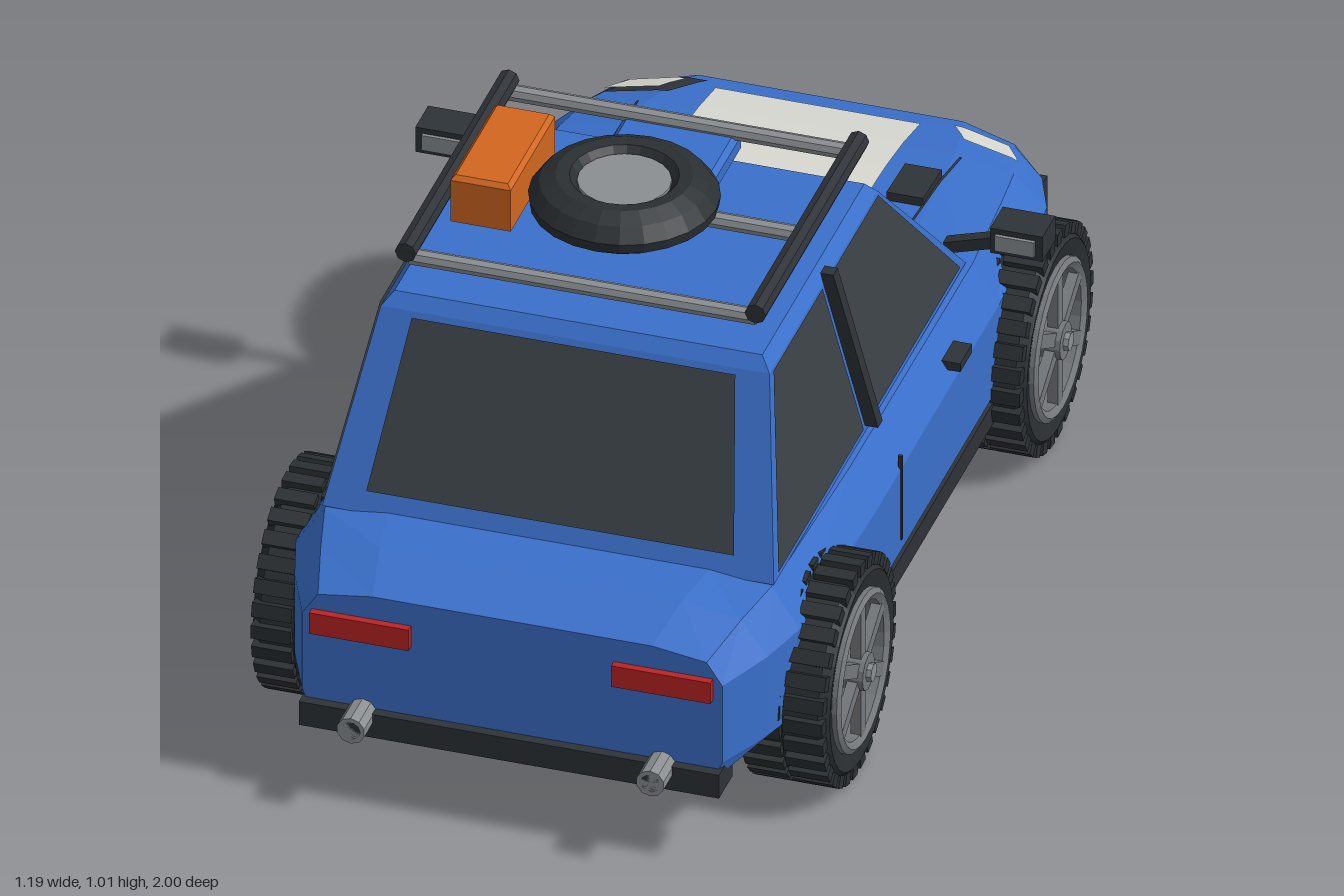
import * as THREE from 'three';

const mat = (name, color) => new THREE.MeshStandardMaterial({ name, color, flatShading: true, side: THREE.DoubleSide });
const M = {
  body: mat('body blue', 0x3a70cb), glass: mat('dark glass', 0x3a4146), rubber: mat('tyre rubber', 0x2a2f32),
  trim: mat('dark trim', 0x2e3338), metal: mat('light metal', 0x8b8f92), rim: mat('rim grey', 0x74787b),
  red: mat('red', 0xbe2323), orange: mat('orange', 0xd2661f), white: mat('pale white', 0xd9d9d2),
};
const lerp = THREE.MathUtils.lerp;

export function createModel() {
  const root = new THREE.Group();
  root.name = 'rallyCar';

  const add = (name, geo, m, x = 0, y = 0, z = 0, parent = root) => {
    const mesh = new THREE.Mesh(geo, m);
    mesh.name = name;
    mesh.position.set(x, y, z);
    parent.add(mesh);
    return mesh;
  };
  // Box given by its limits
  const box = (name, m, x0, x1, y0, y1, z0, z1, parent = root) =>
    add(name, new THREE.BoxGeometry(Math.abs(x1 - x0), y1 - y0, Math.abs(z1 - z0)), m, (x0 + x1) / 2, (y0 + y1) / 2, (z0 + z1) / 2, parent);
  const build = (verts, index) => {
    const g = new THREE.BufferGeometry();
    g.setAttribute('position', new THREE.Float32BufferAttribute(verts.flat(), 3));
    g.setIndex(index);
    const flat = g.toNonIndexed();
    flat.computeVertexNormals();
    return flat;
  };
  // Closed skin through rings of equal point count
  const loft = (rings) => {
    const n = rings[0].length, last = (rings.length - 1) * n, idx = [];
    for (let i = 0; i < rings.length - 1; i++) for (let j = 0; j < n; j++) {
      const a = i * n + j, b = i * n + (j + 1) % n, c = b + n, d = a + n;
      idx.push(a, d, c, a, c, b);
    }
    for (let k = 1; k < n - 1; k++) idx.push(0, k, k + 1, last, last + k + 1, last + k);
    return build(rings.flat(), idx);
  };
  // Flat convex panel
  const panel = (name, m, pts) => {
    const idx = [];
    for (let k = 1; k < pts.length - 1; k++) idx.push(0, k, k + 1);
    return add(name, build(pts, idx), m);
  };

  // Lower body: z, bottom, side and top half widths, shoulder, edge and crown heights
  const S = [
    [0.93, 0.38, 0.40, 0.37, 0.38, 0.425, 0.44],
    [0.82, 0.40, 0.45, 0.40, 0.385, 0.455, 0.475],
    [0.72, 0.42, 0.48, 0.425, 0.39, 0.47, 0.482],
    [0.30, 0.43, 0.49, 0.44, 0.39, 0.475, 0.485],
    [-0.42, 0.43, 0.49, 0.44, 0.39, 0.47, 0.482],
    [-0.65, 0.42, 0.482, 0.42, 0.39, 0.455, 0.475],
    [-0.77, 0.41, 0.468, 0.405, 0.38, 0.44, 0.46],
    [-0.89, 0.38, 0.42, 0.375, 0.36, 0.41, 0.435],
    [-0.945, 0.35, 0.385, 0.35, 0.34, 0.385, 0.415],
  ];
  const FLAT = 0.72;
  add('lowerBody', loft(S.map(([z, wb, ws, wt, ysh, yt, yc]) => {
    const right = [[wb, 0.17, z], [ws, 0.215, z], [ws, ysh, z], [wt, yt, z], [wt * FLAT, yc, z]];
    return [...right, ...right.map(([x, y]) => [-x, y, z]).reverse()];
  })), M.body);

  // Height of the body's upper skin, and panels laid over it
  const skin = (x, z) => {
    const i = Math.max(1, S.findIndex(s => s[0] <= z)), A = S[i - 1], B = S[i];
    const t = (A[0] - z) / (A[0] - B[0]);
    const [, , ws, wt, ysh, yt, yc] = A.map((v, k) => lerp(v, B[k], t));
    const a = Math.abs(x), f = wt * FLAT;
    if (a < f) return yc;
    return a < wt ? lerp(yc, yt, (a - f) / (wt - f)) : lerp(yt, ysh, (a - wt) / (ws - wt));
  };
  const patch = (name, m, c, lift = 0.006) => {
    const N = 8, v = [], idx = [];
    for (let i = 0; i <= N; i++) for (let j = 0; j <= N; j++) {
      const p = k => lerp(lerp(c[0][k], c[1][k], i / N), lerp(c[3][k], c[2][k], i / N), j / N);
      v.push([p(0), skin(p(0), p(1)) + lift, p(1)]);
      if (i < N && j < N) {
        const a = i * (N + 1) + j, d = a + N + 1;
        idx.push(a, a + 1, d + 1, a, d + 1, d);
      }
    }
    add(name, build(v, idx), m);
  };
  patch('hoodStripe', M.white, [[-0.195, -0.47], [0.195, -0.47], [0.195, -0.87], [-0.195, -0.87]]);
  patch('headlightFrame', M.trim, [[-0.43, -0.805], [-0.27, -0.82], [-0.22, -0.905], [-0.385, -0.9]], 0.004);
  for (const s of [-1, 1]) {
    patch('headlight', M.white, [[s * 0.395, -0.825], [s * 0.29, -0.833], [s * 0.255, -0.885], [s * 0.36, -0.88]], 0.008);
    patch('hoodSeam', M.trim, [[s * 0.295, -0.47], [s * 0.3, -0.47], [s * 0.31, -0.76], [s * 0.305, -0.76]], 0.004);
    box('hoodVent', M.trim, s * 0.23, s * 0.30, 0.46, 0.492, -0.67, -0.56).rotation.x = -0.05;
  }

  // Cabin, from roof down to belt line
  const ring = (w, y, zr, zf) => [[w, y, zr], [w, y, zf], [-w, y, zf], [-w, y, zr]];
  add('cabin', loft([ring(0.35, 0.845, 0.54, -0.06), ring(0.37, 0.82, 0.56, -0.08), ring(0.43, 0.475, 0.72, -0.41)]), M.body);
  const up = y => (y - 0.475) / 0.345;
  const sideX = y => lerp(0.43, 0.37, up(y)) + 0.005;
  const rear = [[-0.35, 0.515], [0.35, 0.515], [0.308, 0.812], [-0.308, 0.812]];
  panel('rearWindow', M.glass, rear.map(([x, y]) => [x, y, lerp(0.72, 0.56, up(y)) + 0.006]));
  const front = [[-0.395, 0.49], [0.395, 0.49], [0.34, 0.808], [-0.34, 0.808]];
  panel('windscreen', M.glass, front.map(([x, y]) => [x, y, lerp(-0.41, -0.08, up(y)) - 0.006]));
  for (const s of [-1, 1]) {
    const side = (name, m, pts, off = 0) => panel(name, m, pts.map(([z, y]) => [s * (sideX(y) + off), y, z]));
    side('rearSideWindow', M.glass, [[0.70, 0.49], [0.55, 0.822], [0.262, 0.822], [0.198, 0.49]]);
    side('frontSideWindow', M.glass, [[0.135, 0.49], [0.20, 0.822], [-0.065, 0.822], [-0.37, 0.49]]);
    // Raised door pillar bar
    const bar = (y, zc) => [[0.02, zc + 0.013], [0.02, zc - 0.013], [-0.005, zc - 0.013], [-0.005, zc + 0.013]]
      .map(([d, z]) => [s * (sideX(y) + d), y, z]);
    add('pillarBar', loft([bar(0.845, 0.235), bar(0.485, 0.165)]), M.trim);
  }

  // Doors, sills and mirrors
  for (const s of [-1, 1]) {
    box('doorSeam', M.trim, s * 0.485, s * 0.493, 0.24, 0.42, 0.154, 0.16);
    box('doorHandle', M.trim, s * 0.46, s * 0.502, 0.41, 0.428, -0.225, -0.155);
    box('sideSill', M.trim, s * 0.42, s * 0.49, 0.155, 0.2, -0.4, 0.4);
    box('mirrorHousing', M.trim, s * 0.497, s * 0.597, 0.55, 0.603, -0.42, -0.345);
    box('mirrorGlass', M.metal, s * 0.508, s * 0.583, 0.56, 0.592, -0.346, -0.338);
    const arm = box('mirrorArm', M.trim, s * 0.40, s * 0.52, 0.532, 0.555, -0.395, -0.37);
    arm.rotation.z = s * 0.3;
  }

  // Tail: bumper, lights and exhausts
  box('rearBumper', M.trim, -0.4, 0.4, 0.15, 0.2, 0.87, 0.95);
  for (const s of [-1, 1]) {
    box('tailLight', M.red, s * 0.193, s * 0.382, 0.347, 0.392, 0.92, 0.945);
    add('exhaustPipe', new THREE.CylinderGeometry(0.027, 0.027, 0.11, 10).rotateX(Math.PI / 2), M.metal, s * 0.285, 0.19, 0.945);
    add('exhaustBore', new THREE.CircleGeometry(0.019, 10), M.trim, s * 0.285, 0.19, 1.0);
  }

  // Nose: splitter, skid bar, grille and fog lights
  box('frontSplitter', M.trim, -0.445, 0.445, 0.155, 0.2, -0.985, -0.89);
  box('skidBar', M.metal, -0.28, 0.28, 0.165, 0.215, -1, -0.94);
  box('upperSlot', M.trim, -0.3, 0.3, 0.347, 0.372, -0.953, -0.94);
  panel('grille', M.trim, [[-0.24, 0.235, -0.95], [0.24, 0.235, -0.95], [0.29, 0.32, -0.95], [-0.29, 0.32, -0.95]]);
  for (const y of [0.255, 0.282, 0.309]) box('grilleSlat', M.rubber, -0.235, 0.235, y - 0.005, y + 0.005, -0.957, -0.948);
  for (const s of [-1, 1]) {
    box('fogLightHousing', M.trim, s * 0.325, s * 0.41, 0.235, 0.325, -0.952, -0.91);
    add('fogLight', new THREE.CylinderGeometry(0.028, 0.028, 0.014, 8).rotateX(Math.PI / 2), M.white, s * 0.367, 0.28, -0.954);
  }

  // Wheels, built with local +x pointing outward
  const lathe = (pts, n) => new THREE.LatheGeometry(pts.map(p => new THREE.Vector2(...p)), n);
  const onAxle = g => g.rotateZ(-Math.PI / 2);
  const disc = (r, h, n) => onAxle(new THREE.CylinderGeometry(r, r, h, n));
  const wheel = (s, z) => {
    const w = new THREE.Group();
    w.name = 'wheel';
    w.position.set(s * 0.465, 0.222, z);
    if (s < 0) w.rotation.y = Math.PI;
    root.add(w);
    add('tyre', onAxle(lathe([[0.148, -0.075], [0.188, -0.084], [0.206, -0.066], [0.206, 0.066], [0.188, 0.084], [0.148, 0.075]], 32)), M.rubber, 0, 0, 0, w);
    const N = 30;
    for (let i = 0; i < N * 2; i++) {
      const a = i * Math.PI / N, outer = i % 2 ? 1 : -1;
      const b = box('treadBlock', M.rubber, -0.038, 0.038, -0.012, 0.012, -0.014, 0.014, w);
      b.position.set(outer * 0.041, Math.cos(a) * 0.206, Math.sin(a) * 0.206);
      b.rotation.x = a;
    }
    add('wheelBack', disc(0.15, 0.12, 24), M.trim, -0.02, 0, 0, w);
    add('brakeDisc', disc(0.1, 0.012, 24), M.rim, 0.045, 0, 0, w);
    add('rimRing', onAxle(lathe([[0.132, 0.04], [0.155, 0.04], [0.155, 0.086], [0.145, 0.092], [0.132, 0.084], [0.132, 0.04]], 28)), M.rim, 0, 0, 0, w);
    box('brakeCaliper', M.red, 0.045, 0.066, -0.038, 0.038, -s * 0.098, -s * 0.068, w);
    for (let k = 0; k < 6; k++) {
      const spoke = add('spoke', new THREE.BoxGeometry(0.02, 0.12, 0.027).translate(0, 0.08, 0), M.rim, 0.077, 0, 0, w);
      spoke.rotation.x = k * Math.PI / 3;
    }
    add('hub', disc(0.036, 0.05, 12), M.rim, 0.072, 0, 0, w);
    add('hubCap', disc(0.018, 0.014, 8), M.metal, 0.1, 0, 0, w);
  };
  for (const s of [-1, 1]) for (const z of [0.57, -0.59]) wheel(s, z);

  // Roof scoop and rack
  const scoop = (w, y, d) => ring(w, y, 0.03 + d, 0.03 - d);
  add('roofScoop', loft([scoop(0.1, 0.9, 0.095), scoop(0.11, 0.89, 0.105), scoop(0.11, 0.865, 0.105), scoop(0.085, 0.84, 0.08)]), M.body);
  for (const s of [-1, 1])
    add('rackRail', new THREE.CylinderGeometry(0.02, 0.02, 0.61, 8).rotateX(Math.PI / 2), M.trim, s * 0.333, 0.923, 0.225);
  for (const z of [0.51, 0.225, -0.065])
    add('rackCrossbar', new THREE.CylinderGeometry(0.016, 0.016, 0.66, 8).rotateZ(Math.PI / 2), M.metal, 0, 0.905, z);

  // Rack load: spare wheel and storage box
  add('spareTyre', lathe([[0.085, 0.92], [0.145, 0.92], [0.172, 0.938], [0.175, 0.958], [0.155, 0.985], [0.125, 1.0], [0.1, 0.998], [0.085, 0.98]], 24), M.rubber, 0, 0, 0.27);
  add('spareRim', new THREE.CylinderGeometry(0.086, 0.086, 0.065, 20), M.metal, 0, 0.955, 0.27);
  const crate = (i, y) => [[0.0575 - i, 0.13], [0.0575 - i, -0.13], [i - 0.0575, -0.13], [i - 0.0575, 0.13]]
    .map(([x, z]) => [x - 0.232, y, z + 0.27 - Math.sign(z) * i]);
  add('storageBox', loft([crate(0.008, 1.017), crate(0, 1.008), crate(0, 0.92)]), M.orange);

  return root;
}
